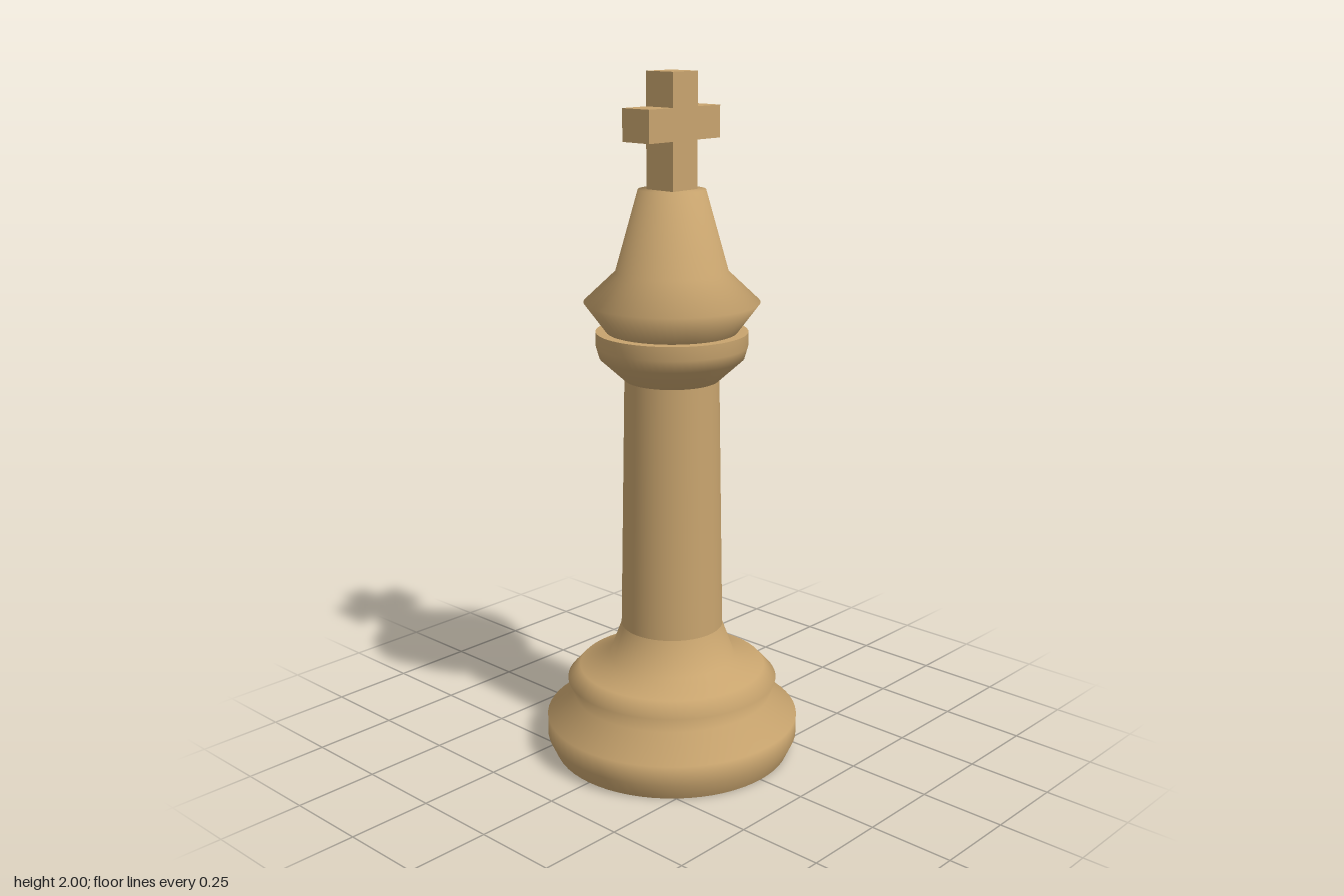
import * as THREE from 'three';

const wood = new THREE.MeshStandardMaterial({ color: 0xc8a46e });

// Turned part from [radius, height] pairs, listed bottom to top; a repeated pair makes a sharp edge
function turned(name, profile) {
  const points = profile.map(([r, y]) => new THREE.Vector2(r, y));
  const mesh = new THREE.Mesh(new THREE.LatheGeometry(points, 64), wood);
  mesh.name = name;
  return mesh;
}

export function createModel() {
  const group = new THREE.Group();
  group.name = 'chessKing';

  // Stepped foot
  group.add(turned('base', [
    [0, 0], [0.352, 0], [0.352, 0], [0.375, 0.05], [0.375, 0.11], [0.295, 0.177],
    [0.312, 0.225], [0.275, 0.265], [0.187, 0.295], [0.15, 0.395],
  ]));

  // Slightly tapering column
  group.add(turned('shaft', [[0.15, 0.395], [0.136, 1.14]]));

  // Flared collar with a flat top
  group.add(turned('collar', [
    [0.136, 1.14], [0.207, 1.205], [0.217, 1.24], [0.217, 1.28], [0.217, 1.28], [0, 1.28],
  ]));

  // Flared, tapering head
  group.add(turned('head', [
    [0.187, 1.28], [0.25, 1.365], [0.16, 1.45], [0.095, 1.68], [0, 1.68],
  ]));

  // Cross on top, extruded from its right half outline and the mirror of it
  const half = [[0.05, 1.67], [0.05, 1.815], [0.143, 1.815], [0.143, 1.905], [0.05, 1.905], [0.05, 2]];
  const outline = [...half, ...half.map(([x, y]) => [-x, y]).reverse()];
  const shape = new THREE.Shape(outline.map(([x, y]) => new THREE.Vector2(x, y)));
  const cross = new THREE.Mesh(
    new THREE.ExtrudeGeometry(shape, { depth: 0.1, bevelEnabled: false }).translate(0, 0, -0.05),
    wood
  );
  cross.name = 'cross';
  group.add(cross);

  return group;
}
